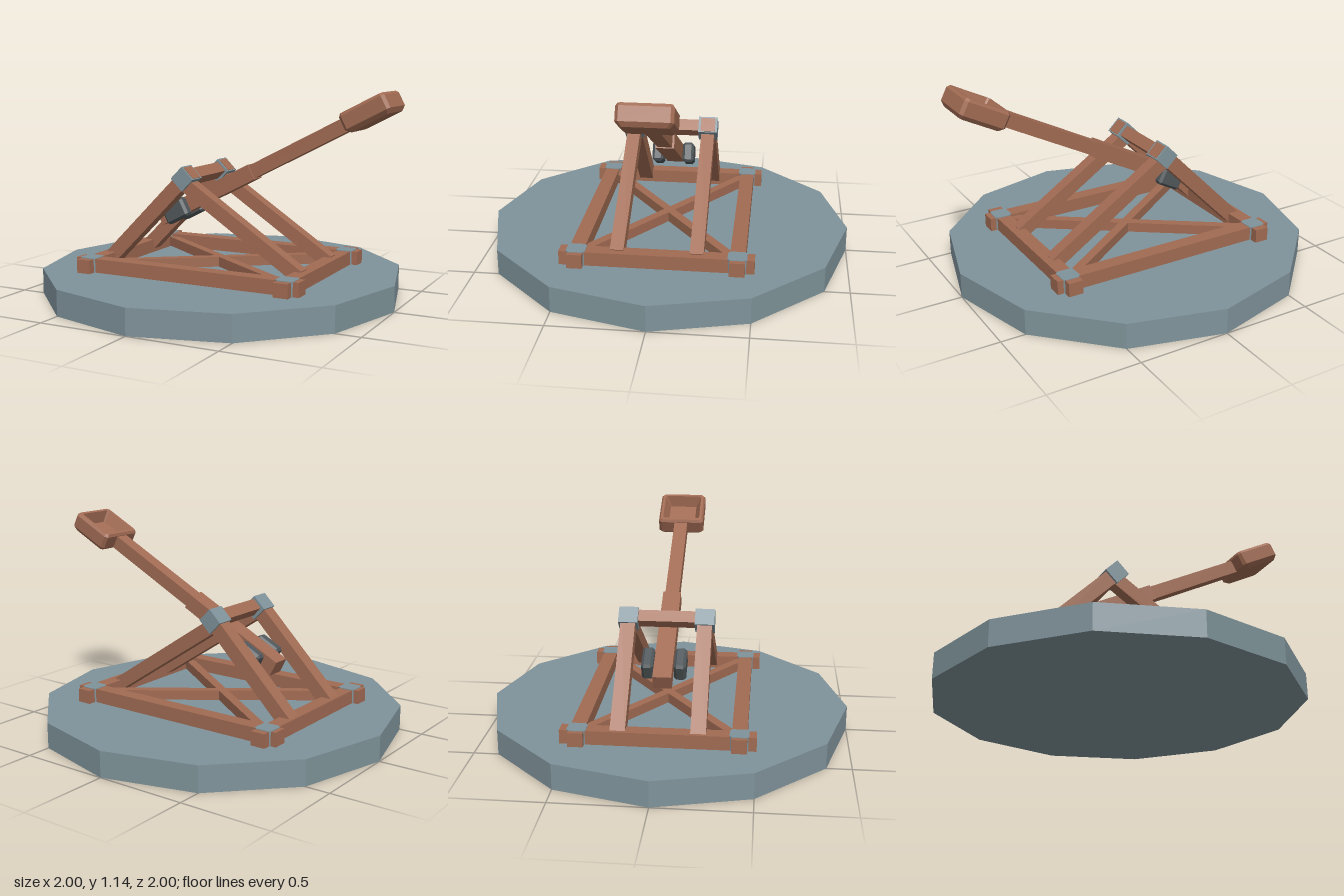
import * as THREE from 'three';
import { ConvexGeometry } from 'three/addons/geometries/ConvexGeometry.js';

const material = (name, color) => {
  const m = new THREE.MeshStandardMaterial({ color, flatShading: true });
  m.name = name;
  return m;
};

// Box with all edges bevelled by c
function bevelledBox(w, h, d, c) {
  const pts = [];
  for (const x of [-1, 1]) for (const y of [-1, 1]) for (const z of [-1, 1]) {
    for (let k = 0; k < 3; k++) {
      pts.push(new THREE.Vector3(
        x * (w / 2 - (k === 0 ? 0 : c)),
        y * (h / 2 - (k === 1 ? 0 : c)),
        z * (d / 2 - (k === 2 ? 0 : c))));
    }
  }
  return new ConvexGeometry(pts);
}

// Rectangle outline with cut corners
const cutRect = (a, b, c) => [
  [a, b - c], [a - c, b], [-a + c, b], [-a, b - c],
  [-a, -b + c], [-a + c, -b], [a - c, -b], [a, -b + c]];

// Joins rings of [halfX, halfZ, cornerCut, y] into one skin
function loft(rings) {
  const pos = [];
  const loops = rings.map(([a, b, c, y]) => cutRect(a, b, c).map(([x, z]) => [x, y, z]));
  for (let r = 0; r < loops.length - 1; r++) {
    const lo = loops[r], hi = loops[r + 1];
    for (let i = 0; i < 8; i++) {
      const j = (i + 1) % 8;
      pos.push(...lo[i], ...hi[i], ...lo[j], ...lo[j], ...hi[i], ...hi[j]);
    }
  }
  const g = new THREE.BufferGeometry();
  g.setAttribute('position', new THREE.Float32BufferAttribute(pos, 3));
  g.computeVertexNormals();
  return g;
}

export function createModel() {
  const model = new THREE.Group();
  model.name = 'catapult';
  const wood = material('wood', 0xa16b53);
  const stone = material('stone', 0x7f939a);
  const iron = material('iron', 0x50575a);

  const add = (parent, name, geometry, mat, x = 0, y = 0, z = 0) => {
    const mesh = new THREE.Mesh(geometry, mat);
    mesh.name = name;
    mesh.position.set(x, y, z);
    parent.add(mesh);
    return mesh;
  };
  const box = (w, h, d) => new THREE.BoxGeometry(w, h, d);

  // Sloping beam in the xy plane between two points
  const beam = (name, x1, y1, x2, y2, z, thick, depth) => {
    const m = add(model, name, box(Math.hypot(x2 - x1, y2 - y1), thick, depth), wood,
      (x1 + x2) / 2, (y1 + y2) / 2, z);
    m.rotation.z = Math.atan2(y2 - y1, x2 - x1);
  };

  // Twelve-sided plinth
  add(model, 'plinth', new THREE.CylinderGeometry(1, 1, 0.14, 12), stone, 0, 0.07, 0);

  // Ground frame with joint plates
  for (const z of [-0.417, 0.417]) {
    add(model, 'longBeam', box(1.325, 0.078, 0.08), wood, -0.003, 0.177, z);
  }
  for (const x of [-0.59, 0.58]) {
    add(model, 'crossBeam', box(0.08, 0.076, 1.01), wood, x, 0.177, 0);
    for (const z of [-0.417, 0.417]) {
      add(model, 'cornerJoint', loft([
        [0, 0, 0, 0.14], [0.05, 0.05, 0.014, 0.14],
        [0.05, 0.05, 0.014, 0.219], [0, 0, 0, 0.219]]), stone, x, 0, z);
    }
  }

  // Flat diagonal braces
  for (const s of [-1, 1]) {
    const brace = add(model, 'diagonalBrace', box(1.4, 0.055, 0.05), wood, -0.005, 0.172, 0);
    brace.rotation.y = s * Math.atan2(0.417, 0.585);
  }

  // Side supports and their caps
  for (const s of [-1, 1]) {
    const z = s * 0.207;
    beam('frontLeg', -0.6, 0.168, -0.076, 0.692, z, 0.08, 0.08);
    beam('rearLeg', 0.56, 0.188, -0.11, 0.627, z, 0.075, 0.072);
    const cap = add(model, 'supportCap', box(0.095, 0.095, 0.105), stone, -0.113, 0.657, z);
    cap.rotation.z = Math.PI / 4;
  }
  const bar = add(model, 'crossbar', box(0.067, 0.067, 0.42), wood, -0.11, 0.66, 0);
  bar.rotation.z = Math.PI / 4;

  // Throwing arm, tilted as one group
  const arm = new THREE.Group();
  arm.name = 'throwingArm';
  arm.position.set(-0.113, 0.53, 0);
  arm.rotation.z = THREE.MathUtils.degToRad(27.3);
  model.add(arm);
  add(arm, 'armButt', box(0.647, 0.087, 0.1), wood, 0.0255, 0, 0);
  add(arm, 'armShaft', box(0.65, 0.075, 0.078), wood, 0.66, 0, 0);
  for (const s of [-1, 1]) {
    add(arm, 'counterweight', bevelledBox(0.148, 0.113, 0.064, 0.014), iron, -0.153, -0.009, s * 0.087);
  }

  // Hollow bucket: underside, outer wall, rim, inner wall, floor
  add(arm, 'bucket', loft([
    [0, 0, 0, -0.055],
    [0.112, 0.115, 0.012, -0.055],
    [0.132, 0.135, 0.016, -0.032],
    [0.132, 0.135, 0.016, 0.04],
    [0.122, 0.125, 0.014, 0.055],
    [0.106, 0.11, 0.01, 0.055],
    [0.083, 0.08, 0.006, -0.01],
    [0, 0, 0, -0.01]]), wood, 1.095, 0, 0);

  return model;
}
